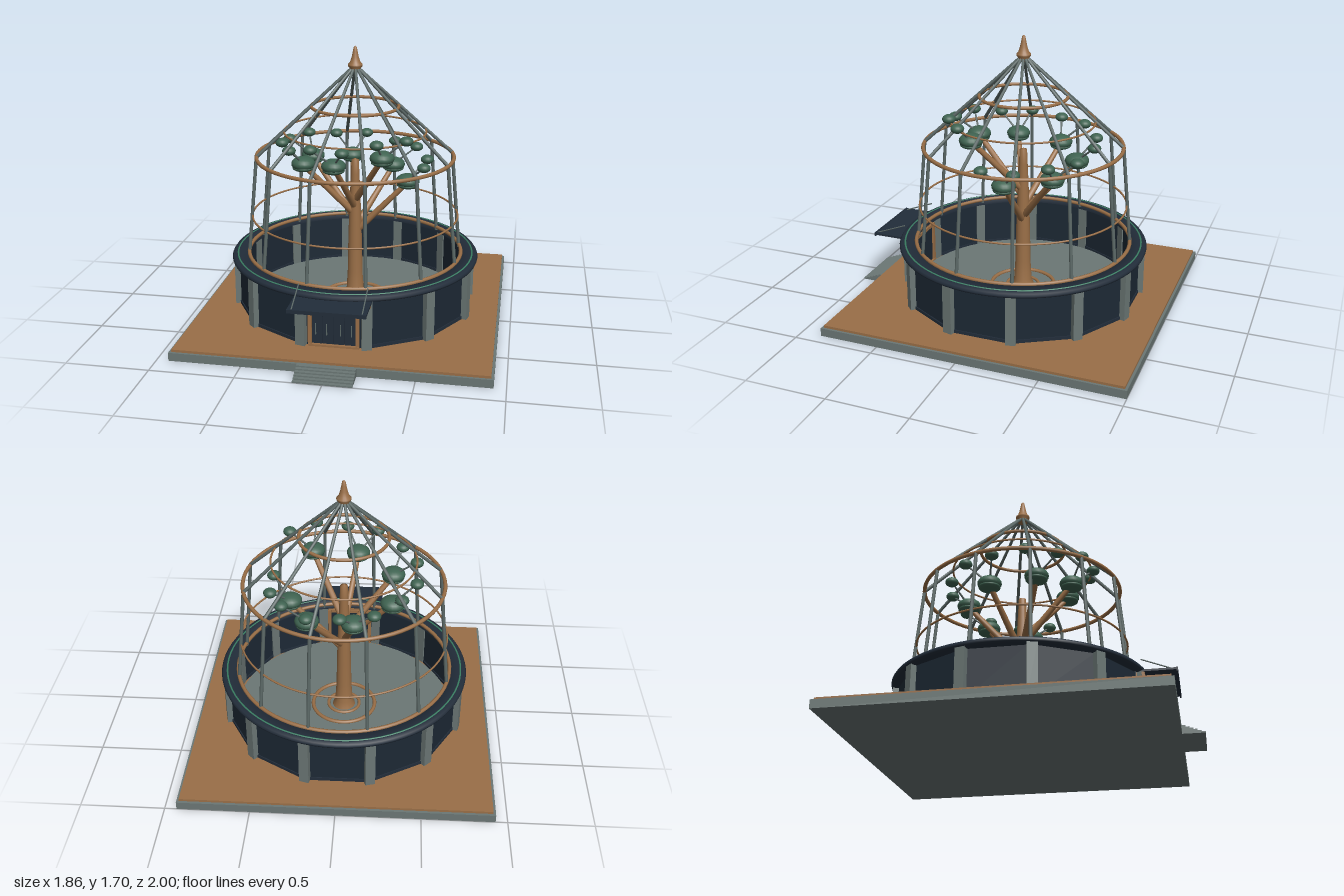
import * as THREE from 'three';

export function createModel() {
  const model = new THREE.Group();
  model.name = 'treePavilion';
  const mat = (name, color, side = THREE.FrontSide) => {
    const m = new THREE.MeshStandardMaterial({ color, side });
    m.name = name;
    return m;
  };
  const bronze = mat('bronze', 0x9a6f47);
  const stone = mat('stone', 0x6b7775);
  const steel = mat('steel', 0x5c6967);
  const navy = mat('navy', 0x222d3a);
  const glass = mat('darkGlass', 0x1d2935);
  const leaf = mat('leaf', 0x3f6351);
  const trimGreen = mat('trimGreen', 0x3b8064);

  const V = (x, y, z) => new THREE.Vector3(x, y, z);
  const add = (parent, name, geo, material, x = 0, y = 0, z = 0) => {
    const mesh = new THREE.Mesh(geo, material);
    mesh.name = name;
    mesh.position.set(x, y, z);
    parent.add(mesh);
    return mesh;
  };
  const box = (parent, name, m, w, h, d, x, y, z) =>
    add(parent, name, new THREE.BoxGeometry(w, h, d), m, x, y, z);
  // tapered round bar between two points
  const rod = (parent, name, m, a, b, r0, r1 = r0, sides = 8) => {
    const d = b.clone().sub(a);
    const mid = a.clone().add(b).multiplyScalar(0.5);
    const mesh = add(parent, name, new THREE.CylinderGeometry(r1, r0, d.length(), sides), m, mid.x, mid.y, mid.z);
    mesh.quaternion.setFromUnitVectors(V(0, 1, 0), d.normalize());
    return mesh;
  };
  const ring = (parent, name, m, r, y, tube) =>
    add(parent, name, new THREE.TorusGeometry(r, tube, 8, 72), m, 0, y, 0).rotateX(Math.PI / 2);
  const lathe = (parent, name, m, pts, seg) =>
    add(parent, name, new THREE.LatheGeometry(pts.map(p => new THREE.Vector2(...p)), seg), m);

  // square platform with paved top
  const cz = -0.065;
  box(model, 'platformBase', stone, 1.86, 0.05, 1.87, 0, 0.025, cz);
  box(model, 'platformPaving', bronze, 1.83, 0.015, 1.84, 0, 0.0575, cz);

  // entrance steps
  const steps = 6;
  for (let i = 0; i < steps; i++) {
    const h = 0.05 * (i + 1) / steps;
    box(model, 'step', stone, 0.34, h, 0.0217, 0, h / 2, 0.989 - i * 0.0217);
  }

  // everything round is centred on the pavilion axis
  const pav = new THREE.Group();
  pav.name = 'pavilion';
  pav.position.z = cz;
  model.add(pav);

  add(pav, 'floor', new THREE.CylinderGeometry(0.69, 0.69, 0.01, 48), stone, 0, 0.07, 0);

  // twelve bays: columns at the corners, panels between, door in the front bay
  const R = 0.735, apothem = R * Math.cos(Math.PI / 12);
  for (let i = 0; i < 12; i++) {
    const bay = new THREE.Group();
    bay.name = 'bay';
    bay.rotation.y = i * Math.PI / 6;
    pav.add(bay);
    const corner = new THREE.Group();
    corner.name = 'columnCorner';
    corner.rotation.y = Math.PI / 12;
    bay.add(corner);
    box(corner, 'column', stone, 0.06, 0.305, 0.06, 0, 0.2175, R);
    if (i === 0) continue;
    box(bay, 'wallPanel', glass, 0.34, 0.285, 0.016, 0, 0.2225, apothem - 0.005);
    box(bay, 'wallSill', navy, 0.34, 0.02, 0.028, 0, 0.075, apothem - 0.005);
  }

  // entrance doors and frame
  const door = new THREE.Group();
  door.name = 'entrance';
  door.position.z = apothem;
  pav.add(door);
  box(door, 'lintel', bronze, 0.44, 0.028, 0.05, 0, 0.35, 0.015);
  box(door, 'doorHead', bronze, 0.3, 0.02, 0.04, 0, 0.327, 0);
  box(door, 'threshold', bronze, 0.3, 0.012, 0.05, 0, 0.071, 0);
  for (const s of [-1, 1]) {
    box(door, 'doorPost', bronze, 0.022, 0.27, 0.045, s * 0.14, 0.2, 0);
    box(door, 'sidePanel', glass, 0.03, 0.28, 0.016, s * 0.165, 0.205, -0.005);
  }
  for (let i = 0; i < 4; i++) {
    const x = (i - 1.5) * 0.065;
    box(door, 'doorLeaf', navy, 0.061, 0.24, 0.012, x, 0.197, 0);
    box(door, 'doorHandle', steel, 0.005, 0.07, 0.008, x + (i % 2 ? -1 : 1) * (i === 1 || i === 2 ? 0.008 : -0.008), 0.17, 0.012);
  }
  box(door, 'doorBacking', glass, 0.26, 0.25, 0.006, 0, 0.2, -0.006);

  // flat entrance canopy with tie rods
  box(model, 'canopy', navy, 0.45, 0.012, 0.25, 0, 0.37, 0.745);
  box(model, 'canopyFascia', navy, 0.45, 0.022, 0.01, 0, 0.367, 0.868);
  for (const s of [-1, 1])
    rod(model, 'canopyTieRod', steel, V(s * 0.2, 0.372, 0.86), V(s * 0.2, 0.448, 0.665), 0.004);

  // roof ring over the wall
  lathe(pav, 'roofRing', navy, [
    [0.68, 0.365], [0.755, 0.365], [0.772, 0.373], [0.776, 0.385], [0.768, 0.397],
    [0.745, 0.404], [0.68, 0.404], [0.68, 0.365],
  ], 72);
  ring(pav, 'greenTrimRing', trimGreen, 0.74, 0.402, 0.006);

  // cage of bars and hoops
  for (let i = 0; i < 12; i++) {
    const a = (i + 0.5) * Math.PI / 6;
    const at = (r, y) => V(Math.sin(a) * r, y, Math.cos(a) * r);
    rod(pav, 'cageBar', steel, at(0.67, 0.39), at(0.61, 1.02), 0.011, 0.011);
    rod(pav, 'roofBar', steel, at(0.61, 1.02), at(0.025, 1.56), 0.011, 0.009);
  }
  for (const [r, y, t] of [
    [0.67, 0.408, 0.012], [0.643, 0.645, 0.006], [0.61, 1.02, 0.012],
    [0.437, 1.175, 0.006], [0.267, 1.33, 0.01],
  ]) ring(pav, 'cageHoop', bronze, r, y, t);

  // finial
  lathe(pav, 'finial', bronze, [
    [0, 1.54], [0.032, 1.545], [0.034, 1.565], [0.044, 1.577], [0.044, 1.587],
    [0.032, 1.6], [0.022, 1.63], [0.015, 1.665], [0.01, 1.69], [0, 1.7],
  ], 20);

  // tree trunk with planter rings
  lathe(pav, 'trunk', bronze, [
    [0.075, 0.07], [0.056, 0.12], [0.048, 0.25], [0.045, 0.42], [0.04, 0.6],
    [0.034, 0.75], [0.027, 0.9], [0.023, 0.99], [0, 1.0],
  ], 16);
  ring(pav, 'planterRing', bronze, 0.2, 0.08, 0.012);
  ring(pav, 'trunkCollar', bronze, 0.1, 0.078, 0.01);

  // seven branches, each with a crown and two sprigs
  const puff = (name, p, r, squash) => {
    const m = add(pav, name, new THREE.SphereGeometry(r, 20, 12), leaf, p.x, p.y, p.z);
    m.scale.y = squash;
  };
  const heights = [0.87, 1.08, 1.035, 0.99, 0.965, 0.935, 0.9];
  heights.forEach((y, k) => {
    const a = k * Math.PI * 2 / 7;
    const polar = (r, h, da = 0) => V(Math.cos(a + da) * r, h, Math.sin(a + da) * r);
    const crown = polar(0.33, y);
    rod(pav, 'branch', bronze, polar(0.015, y - 0.34), polar(0.32, y - 0.02), 0.022, 0.016, 10);
    puff('leafCrown', crown, 0.074, 0.6);
    puff('leafCrownSkirt', polar(0.33, y - 0.025), 0.067, 0.35);
    for (const s of [-1, 1]) {
      const tip = polar(0.45, y + 0.115, s * Math.PI / 14);
      rod(pav, 'sprigStem', steel, crown, tip, 0.007, 0.005, 6);
      puff('leafSprig', tip, 0.041, 0.7);
    }
  });

  return model;
}
